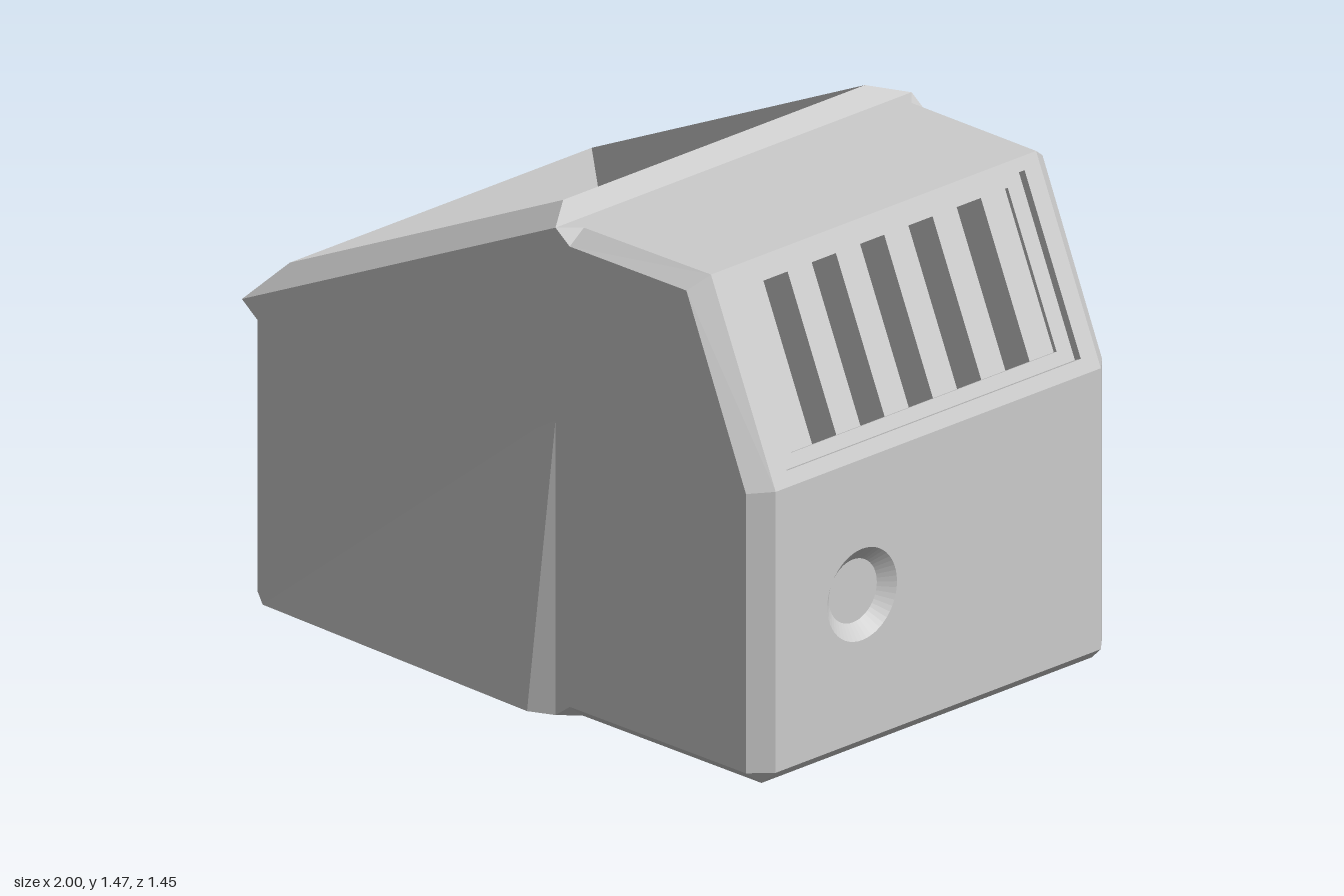
import * as THREE from 'three';

const material = new THREE.MeshStandardMaterial({ color: 0xcccccc, flatShading: true, side: THREE.DoubleSide });

// Mesh from convex faces, each a loop of [x, y, z] corners
function facesMesh(name, faces) {
  const pos = [];
  for (const f of faces) {
    for (let i = 1; i < f.length - 1; i++) pos.push(...f[0], ...f[i], ...f[i + 1]);
  }
  const geo = new THREE.BufferGeometry();
  geo.setAttribute('position', new THREE.Float32BufferAttribute(pos, 3));
  geo.computeVertexNormals();
  const mesh = new THREE.Mesh(geo, material);
  mesh.name = name;
  return mesh;
}

const flip = ([x, y, z]) => [x, y, -z];
const withMirror = (faces) => [...faces, ...faces.map((f) => f.map(flip).reverse())];

// Bands of quads joining successive loops
function loft(loops) {
  const faces = [];
  for (let k = 0; k < loops.length - 1; k++) {
    const a = loops[k], b = loops[k + 1];
    a.forEach((p, i) => {
      const j = (i + 1) % a.length;
      faces.push([p, a[j], b[j], b[i]]);
    });
  }
  return faces;
}

// Four-cornered loop symmetric in z
const rect = (x0, y0, x1, y1, z) => [[x0, y0, z], [x1, y1, z], [x1, y1, -z], [x0, y0, -z]];

// Strips spanning the body between mirrored edge points
const span = (pts) => pts.slice(1).map((b, i) => [flip(pts[i]), flip(b), b, pts[i]]);

export function createModel() {
  const group = new THREE.Group();
  const W = 0.69, N = 0.63;

  // Corner points on the +z side
  const A = [-1, 0.88, W], B = [0.21, 1.44, W], C = [0.265, 1.4, W], D = [0.715, 1.4, W];
  const E = [0.945, 0.865, W], F = [0.945, 0.04, W], G = [0.265, 0.04, W], H = [0.21, 0, W];
  const I = [0.135, 0, 0.725], J = [-0.92, 0, W], K = [-0.92, 0.82, W];
  const L = [0.135, 0.825, W], M = [0.21, 0.87, W];
  const Jn = [-1, 0, N], Kn = [-1, 0.82, N];
  const Ct = [0.265, 1.44, 0.635], Dt = [0.75, 1.44, N], Ex = [1, 0.87, N], Fx = [1, 0.04, N];
  const Gb = [0.265, 0, 0.64], Fb = [0.955, 0, 0.64];

  // Side walls with the flared lower panel
  group.add(facesMesh('sideWalls', withMirror([
    [J, I, L, K], [I, H, M, L], [B, A, K, L, M], [H, G, C, B], [G, F, E, D, C],
  ])));

  // Bevelled edges
  group.add(facesMesh('bevels', [
    ...withMirror([
      [Jn, J, K, Kn], [Kn, K, A],
      [B, C, Ct], [C, D, Dt, Ct], [D, E, Ex, Dt], [F, Fx, Ex, E],
      [H, Gb, G], [Gb, Fb, F, G], [Fb, Fx, F],
    ]),
    [Fb, flip(Fb), flip(Fx), Fx],
  ]));

  group.add(facesMesh('screenSideWall', [
    [flip(Jn), Jn, Kn, flip(Kn)], [flip(Kn), Kn, A, flip(A)],
  ]));
  group.add(facesMesh('base', span([Jn, J, I, H, Gb, Fb])));
  group.add(facesMesh('roof', span([B, Ct, Dt]).map((f) => f.reverse())));

  // Raised sloping bezel stepping down to the screen
  const screen = rect(-0.85, 0.71, 0.135, 1.14, 0.54);
  group.add(facesMesh('screenBezel', loft([
    rect(-1, 0.88, 0.21, 1.44, W),
    rect(-0.92, 0.98, 0.135, 1.47, 0.585),
    rect(-0.885, 0.825, 0.17, 1.315, 0.585),
    rect(-0.85, 0.845, 0.135, 1.3, 0.54),
    screen,
  ])));
  group.add(facesMesh('screen', [screen]));

  // Sloping vent panel: d is the depth below the slope
  const onSlope = (y, d) => [1 - (y - 0.87) * (0.25 / 0.57) - 0.916 * d, y - 0.402 * d];
  const ventLoop = (y0, y1, z, d) => rect(...onSlope(y1, d), ...onSlope(y0, d), z);
  const low = 0.946, high = 1.376, half = 0.515, depth = 0.037;
  group.add(facesMesh('ventFrame', loft([
    ventLoop(0.87, 1.44, N, 0),
    ventLoop(0.91, 1.405, 0.57, 0),
    ventLoop(0.91, 1.405, 0.57, 0.025),
    ventLoop(low, high, half, 0.025),
    ventLoop(low, high, half, depth),
  ])));

  // Six vent bars with open slots between
  const bars = [], step = (2 * half) / 11;
  for (let i = 0; i < 11; i += 2) {
    const z1 = half - i * step, z0 = z1 - step;
    const top = onSlope(high, depth), bottom = onSlope(low, depth);
    bars.push([[...top, z1], [...bottom, z1], [...bottom, z0], [...top, z0]]);
  }
  group.add(facesMesh('ventBars', bars));

  // Vent-side wall with a round opening
  const cy = 0.47, cz = 0.295, R = 0.135, r = 0.093, dip = 0.036;
  const wall = new THREE.Shape([[-N, 0.04], [N, 0.04], [N, 0.87], [-N, 0.87]]
    .map(([x, y]) => new THREE.Vector2(x, y)));
  wall.holes.push(new THREE.Path().absarc(-cz, cy, R, 0, Math.PI * 2, true));
  const wallMesh = new THREE.Mesh(new THREE.ShapeGeometry(wall, 24).rotateY(Math.PI / 2).translate(1, 0, 0), material);
  wallMesh.name = 'ventSideWall';
  group.add(wallMesh);

  // Dished round socket
  const circle = (x, rad) => Array.from({ length: 48 }, (_, i) => {
    const t = (i / 48) * Math.PI * 2;
    return [x, cy + rad * Math.sin(t), cz - rad * Math.cos(t)];
  });
  const inner = circle(1 - dip, r);
  group.add(facesMesh('roundSocket', [...loft([circle(1, R), inner]), inner]));

  return group;
}
